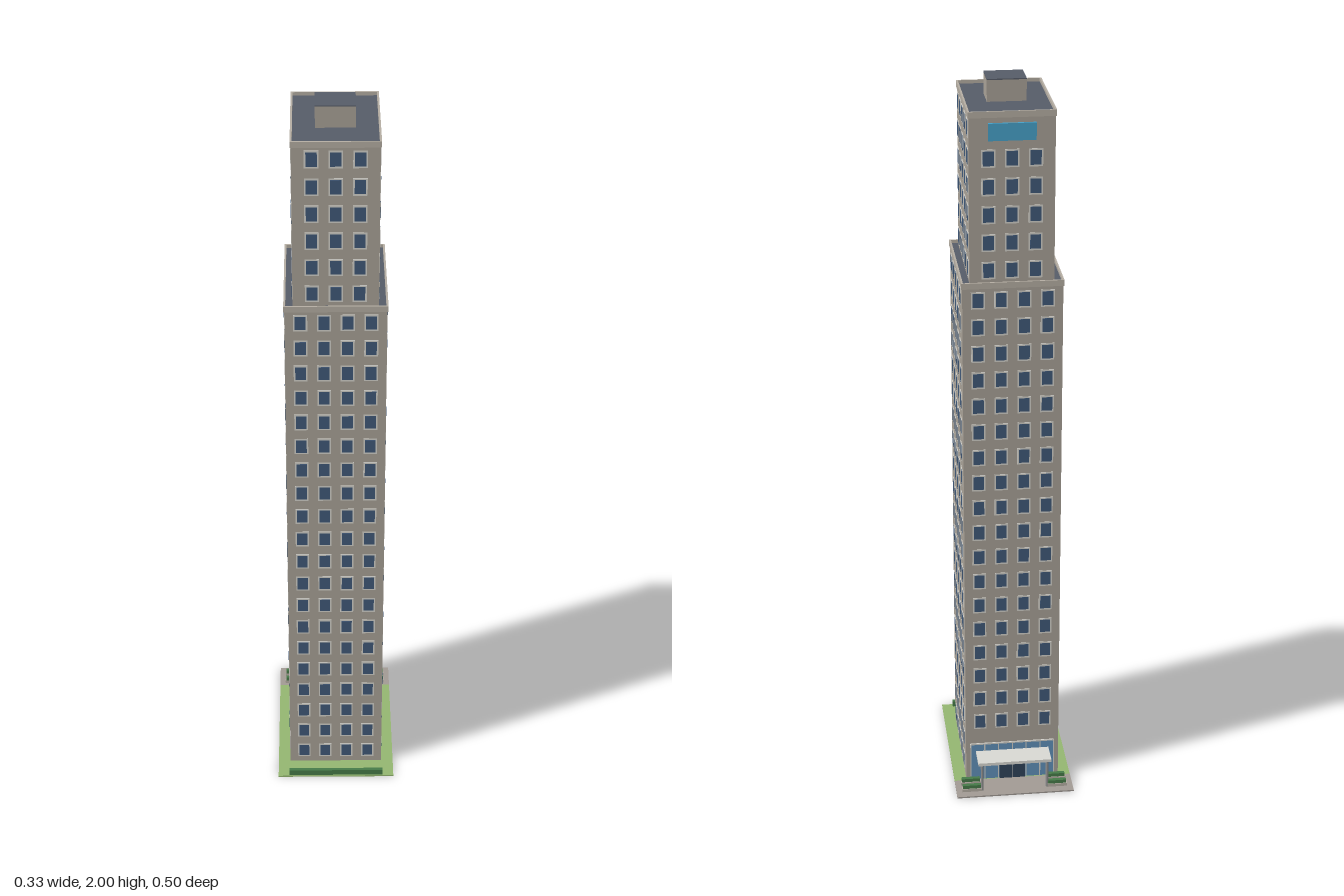
import * as THREE from 'three';
import { mergeGeometries } from 'three/addons/utils/BufferGeometryUtils.js';

const mat = (color) => new THREE.MeshStandardMaterial({ color });
const M = {
  wall: mat(0xa8a196), trim: mat(0xb4ada2), roof: mat(0x565c68), frame: mat(0xd2d0ca),
  glass: mat(0x3f5878), lobby: mat(0x5f8fb8), door: mat(0x2f4258), grass: mat(0x94b670),
  paving: mat(0xa19a94), hedge: mat(0x467a48), canopy: mat(0xd8d8d2), post: mat(0x8f8f8f),
  sign: mat(0x46a0c8),
};

// Box geometry from its minimum and maximum on each axis
function span(x0, x1, y0, y1, z0, z1) {
  return new THREE.BoxGeometry(x1 - x0, y1 - y0, z1 - z0)
    .translate((x0 + x1) / 2, (y0 + y1) / 2, (z0 + z1) / 2);
}

function add(group, name, geos, material) {
  const mesh = new THREE.Mesh(Array.isArray(geos) ? mergeGeometries(geos) : geos, material);
  mesh.name = name;
  group.add(mesh);
  return mesh;
}

const FLOOR = 0.0743, FIRST = 0.045, PITCH = 0.0605;

// One stage of the tower: walls, roof deck, parapet and windows on four sides
function towerStage(name, o) {
  const g = new THREE.Group();
  g.name = name;
  const { hx, z0, z1, y0, y1, rows, cols, skipBack } = o;
  const zc = (z0 + z1) / 2, hz = (z1 - z0) / 2;
  add(g, 'walls', span(-hx, hx, y0, y1 - 0.012, z0, z1), M.wall);
  add(g, 'roofDeck', span(-hx + 0.001, hx - 0.001, y1 - 0.013, y1 - 0.009, z0 + 0.001, z1 - 0.001), M.roof);

  // Parapet ring
  const e = 0.0025, t = 0.005, px = hx + e, pz0 = z0 - e, pz1 = z1 + e, py = y1 - 0.016;
  add(g, 'parapet', [
    span(-px, px, py, y1, pz0, pz0 + t), span(-px, px, py, y1, pz1 - t, pz1),
    span(-px, -px + t, py, y1, pz0 + t, pz1 - t), span(px - t, px, py, y1, pz0 + t, pz1 - t),
  ], M.trim);

  // Windows: pale frame with a dark pane just proud of it
  const frames = [], panes = [];
  for (let side = 0; side < 4; side++) {
    const n = cols[side % 2], dist = side % 2 ? hx : hz;
    for (let r = rows[0]; r <= rows[1]; r++) {
      if (side === 2 && skipBack.includes(r)) continue;
      for (let c = 0; c < n; c++) {
        const u = (c - (n - 1) / 2) * PITCH, y = FIRST + FLOOR * r;
        const place = (geo) => geo.rotateY(side * Math.PI / 2).translate(0, 0, zc);
        frames.push(place(new THREE.BoxGeometry(0.036, 0.047, 0.003).translate(u, y, dist)));
        panes.push(place(new THREE.BoxGeometry(0.028, 0.038, 0.004).translate(u, y, dist)));
      }
    }
  }
  add(g, 'windowFrames', frames, M.frame);
  add(g, 'windowPanes', panes, M.glass);
  return g;
}

// Glazed entrance with mullions, doors and a canopy on posts
function entrance(zBack) {
  const g = new THREE.Group();
  g.name = 'entrance';
  add(g, 'lobbyGlass', span(-0.118, 0.118, 0.004, 0.12, zBack - 0.002, zBack + 0.002), M.lobby);
  const bars = [];
  for (let i = 0; i <= 6; i++) {
    const x = -0.118 + i * 0.236 / 6;
    bars.push(span(x - 0.0015, x + 0.0015, 0.004, 0.12, zBack - 0.0035, zBack));
  }
  bars.push(span(-0.118, 0.118, 0.118, 0.122, zBack - 0.0035, zBack));
  add(g, 'mullions', bars, M.frame);
  add(g, 'doors', [
    span(-0.036, -0.001, 0.004, 0.068, zBack - 0.005, zBack),
    span(0.001, 0.036, 0.004, 0.068, zBack - 0.005, zBack),
  ], M.door);
  add(g, 'canopy', span(-0.103, 0.103, 0.088, 0.097, -0.229, zBack), M.canopy);
  for (const s of [-1, 1]) {
    const post = add(g, 'canopyPost', new THREE.CylinderGeometry(0.004, 0.004, 0.086, 10), M.post);
    post.position.set(s * 0.092, 0.046, -0.221);
  }
  return g;
}

export function createModel() {
  const model = new THREE.Group();
  model.name = 'tower';

  // Ground slabs
  add(model, 'lawn', span(-0.165, 0.165, 0, 0.004, -0.167, 0.246), M.grass);
  add(model, 'forecourt', span(-0.165, 0.165, 0, 0.004, -0.25, -0.167), M.paving);

  // Tower stages
  model.add(towerStage('lowerTower', {
    hx: 0.131, z0: -0.162, z1: 0.18, y0: 0.003, y1: 1.505, rows: [0, 19], cols: [4, 5], skipBack: [0, 1],
  }));
  model.add(towerStage('upperTower', {
    hx: 0.11, z0: -0.143, z1: 0.161, y0: 1.49, y1: 1.95, rows: [20, 25], cols: [3, 5], skipBack: [25],
  }));

  // Rooftop plant room
  add(model, 'plantRoom', span(-0.051, 0.051, 1.938, 1.997, -0.023, 0.06), M.wall);
  add(model, 'plantRoomRoof', span(-0.051, 0.051, 1.997, 2, -0.023, 0.06), M.roof);

  // Blank blue panel high on the back
  add(model, 'bluePanel', span(-0.061, 0.061, 1.875, 1.92, -0.149, -0.142), M.sign);

  model.add(entrance(-0.162));

  // Hedges: one along the front, two in planters on each side of the entrance
  add(model, 'frontHedge', span(-0.134, 0.134, 0.004, 0.021, 0.233, 0.243), M.hedge);
  for (const s of [-1, 1]) {
    for (const z of [-0.219, -0.185]) {
      const planter = add(model, 'planter', new THREE.BoxGeometry(0.056, 0.009, 0.015), M.trim);
      planter.position.set(s * 0.121, 0.0085, z);
      const hedge = add(model, 'planterHedge', new THREE.BoxGeometry(0.051, 0.014, 0.011), M.hedge);
      hedge.position.set(s * 0.121, 0.016, z);
    }
  }
  return model;
}
